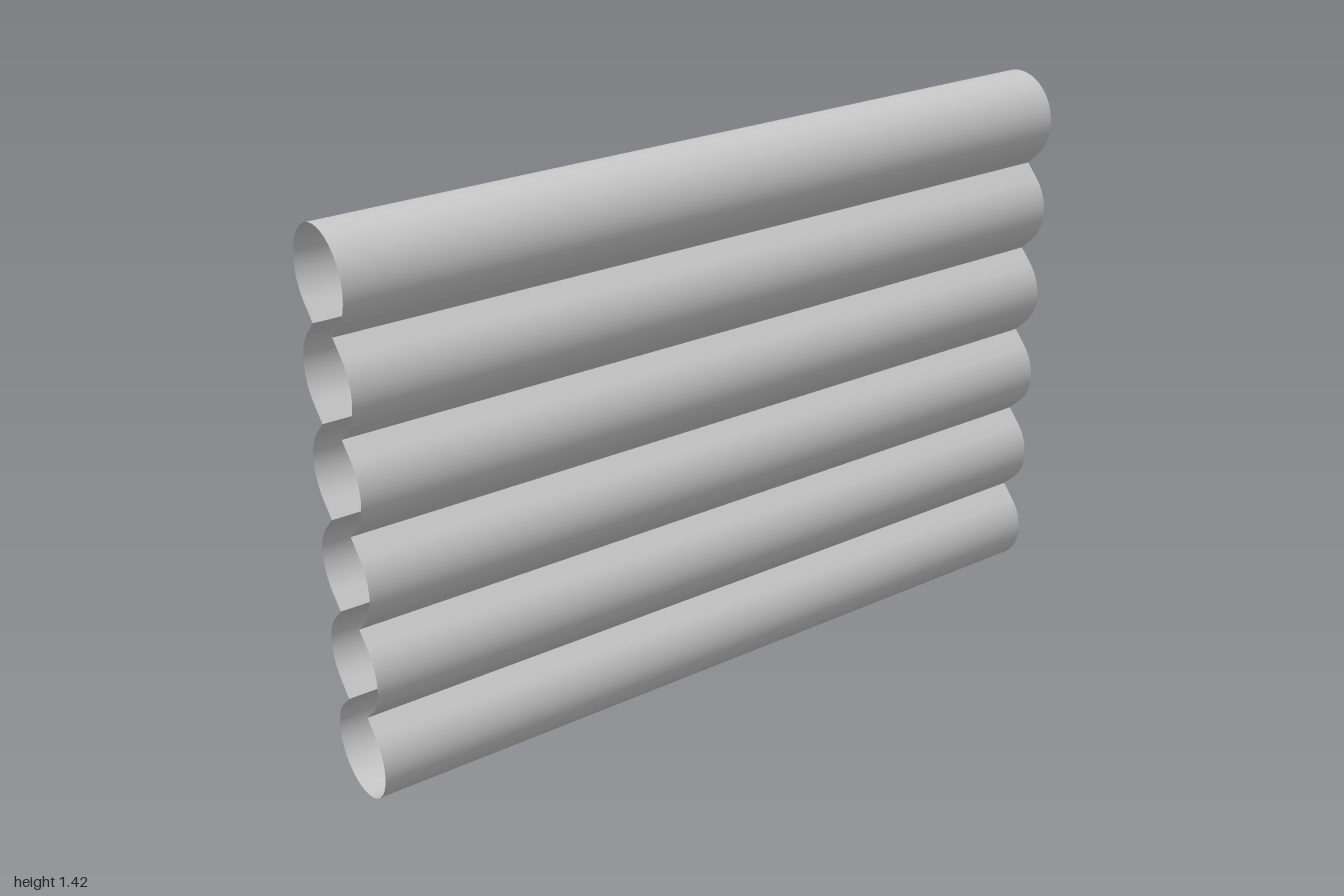
import * as THREE from 'three';

const COUNT = 6, PITCH = 0.238, R = 0.1175, HALF = 1;

// Surface swept along x from a (z, y) profile, smooth across its width
function sweep(profile) {
  const pos = [], idx = [];
  profile.forEach(([z, y], i) => {
    pos.push(-HALF, y, z, HALF, y, z);
    if (i) {
      const a = 2 * i - 2;
      idx.push(a, a + 1, a + 3, a, a + 3, a + 2);
    }
  });
  const g = new THREE.BufferGeometry();
  g.setAttribute('position', new THREE.Float32BufferAttribute(pos, 3));
  g.setIndex(idx);
  g.computeVertexNormals();
  return g;
}

// Arc of a log, angle measured from +z towards +y
function arc(cy, from, to, steps) {
  return Array.from({ length: steps + 1 }, (_, i) => {
    const t = from + (to - from) * i / steps;
    return [R * Math.cos(t), cy + R * Math.sin(t)];
  });
}

export function createModel() {
  const group = new THREE.Group();
  group.name = 'logWall';
  const mat = new THREE.MeshStandardMaterial({ color: 0xcccccc, side: THREE.DoubleSide });
  const q = Math.PI / 4;
  // Straight 45 degree flanks meet in a notch between neighbouring logs
  const notch = R * Math.SQRT2 - PITCH / 2;

  const add = (name, profile) => {
    const m = new THREE.Mesh(sweep(profile), mat);
    m.name = name;
    group.add(m);
  };

  for (let i = 0; i < COUNT; i++) {
    const cy = R + i * PITCH, lo = cy - PITCH / 2, hi = cy + PITCH / 2;
    if (i === 0) {
      // Bottom log, rounded underneath
      add('bottomLog', [[-notch, hi], ...arc(cy, 3 * q, 9 * q, 48), [notch, hi]]);
    } else if (i === COUNT - 1) {
      // Top log, rounded above
      add('topLog', [[notch, lo], ...arc(cy, -q, 5 * q, 48), [-notch, lo]]);
    } else {
      // Front and back faces of the middle logs
      add('logFront' + i, [[notch, lo], ...arc(cy, -q, q, 16), [notch, hi]]);
      add('logBack' + i, [[-notch, hi], ...arc(cy, 3 * q, 5 * q, 16), [-notch, lo]]);
    }
  }
  return group;
}
